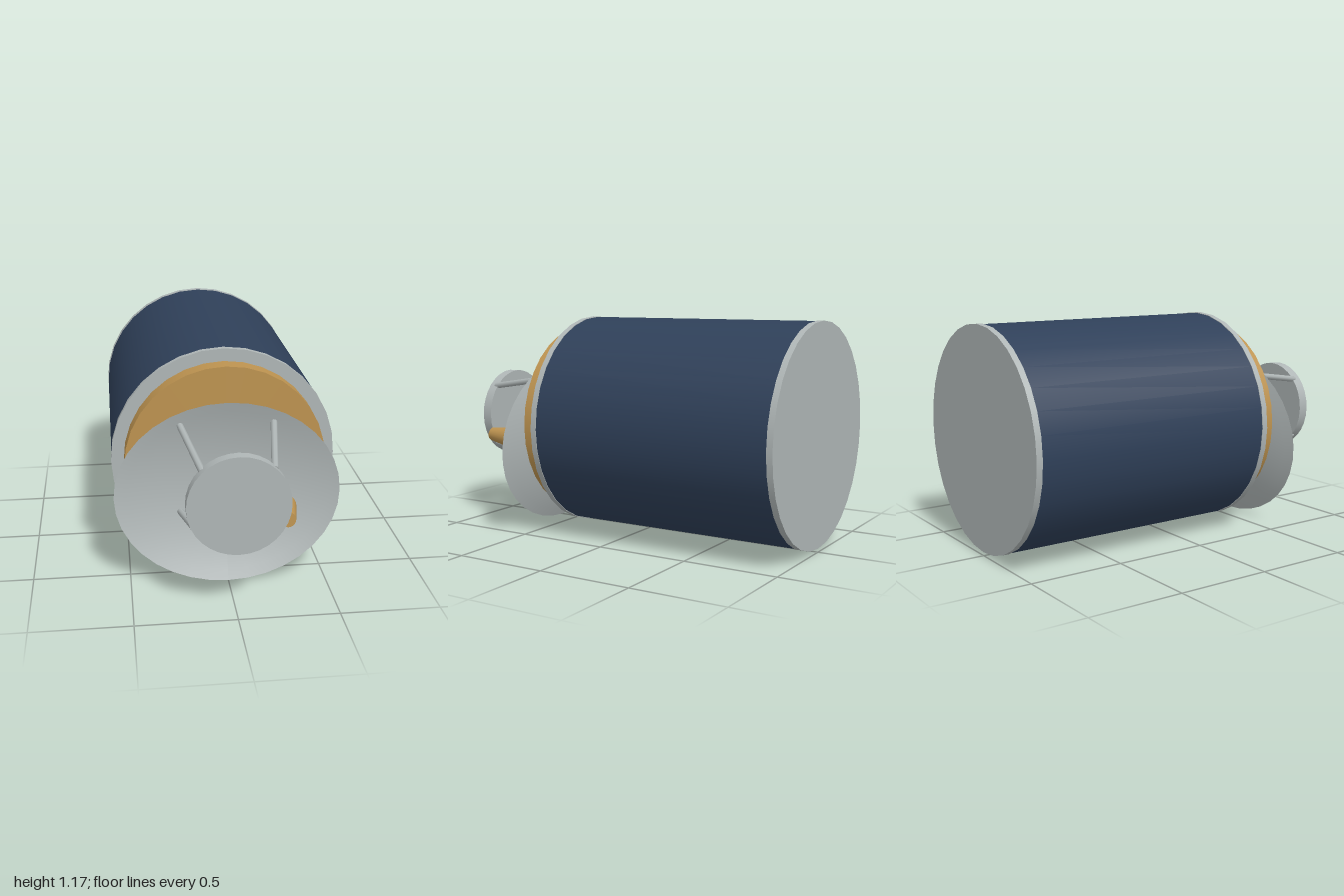
import * as THREE from 'three';

const mat = (name, color, side = THREE.FrontSide) => {
  const m = new THREE.MeshStandardMaterial({ color, side });
  m.name = name;
  return m;
};

export function createModel() {
  const model = new THREE.Group();
  model.name = 'satellite';
  const navy = mat('navySolarCells', 0x2f4059);
  const grey = mat('paleGrey', 0xafb6b6, THREE.DoubleSide);
  const gold = mat('goldFoil', 0xbd9350);
  const CY = 0.602; // height of the body axis

  const add = (name, geometry, material) => {
    const mesh = new THREE.Mesh(geometry, material);
    mesh.name = name;
    model.add(mesh);
    return mesh;
  };

  // drum lying along z between two depths
  const drum = (name, r, z0, z1, material) => {
    const g = new THREE.CylinderGeometry(r, r, z1 - z0, 32).rotateX(Math.PI / 2);
    add(name, g, material).position.set(0, CY, (z0 + z1) / 2);
  };

  // round bar or cone between two points
  const bar = (name, a, b, ra, rb, material, sides = 10) => {
    const p = new THREE.Vector3(...a), q = new THREE.Vector3(...b);
    const dir = q.clone().sub(p);
    const mesh = add(name, new THREE.CylinderGeometry(rb, ra, dir.length(), sides), material);
    mesh.position.copy(p).add(q).multiplyScalar(0.5);
    mesh.quaternion.setFromUnitVectors(new THREE.Vector3(0, 1, 0), dir.normalize());
  };

  // body with end rings and the front platform
  drum('body', 0.575, -0.97, 0.355, navy);
  drum('rearRing', 0.578, -1, -0.968, grey);
  drum('frontRing', 0.578, 0.353, 0.385, grey);
  drum('platform', 0.513, 0.384, 0.48, gold);
  drum('subReflector', 0.247, 0.945, 1, grey);

  // shallow oval dish tilted slightly upwards
  const depth = 0.09, profile = [];
  for (let i = 0; i <= 10; i++) {
    const t = i / 10;
    profile.push(new THREE.Vector2(t, depth * t * t));
  }
  const dishGeo = new THREE.LatheGeometry(profile, 36).rotateX(Math.PI / 2).scale(0.573, 0.474, 1);
  dishGeo.computeVertexNormals();
  const dish = add('dish', dishGeo, grey);
  dish.position.set(0, 0.472, 0.495);
  dish.rotation.x = -0.073;
  bar('dishPost', [0, 0.465, 0.45], [0, 0.473, 0.507], 0.018, 0.012, grey);

  // four struts holding the sub-reflector
  for (const sx of [-1, 1]) for (const sy of [-1, 1]) {
    bar('strut', [sx * 0.248, CY + sy * 0.248, 0.45], [sx * 0.167, CY + sy * 0.167, 0.965], 0.017, 0.017, grey, 8);
  }

  // feed horn on its arm
  bar('feedArm', [0.053, 0.263, 0.47], [0.225, 0.463, 0.785], 0.02, 0.02, grey, 8);
  bar('feedHorn', [0.25, 0.482, 0.764], [0.241, 0.493, 0.937], 0.063, 0.038, gold, 24);

  return model;
}
